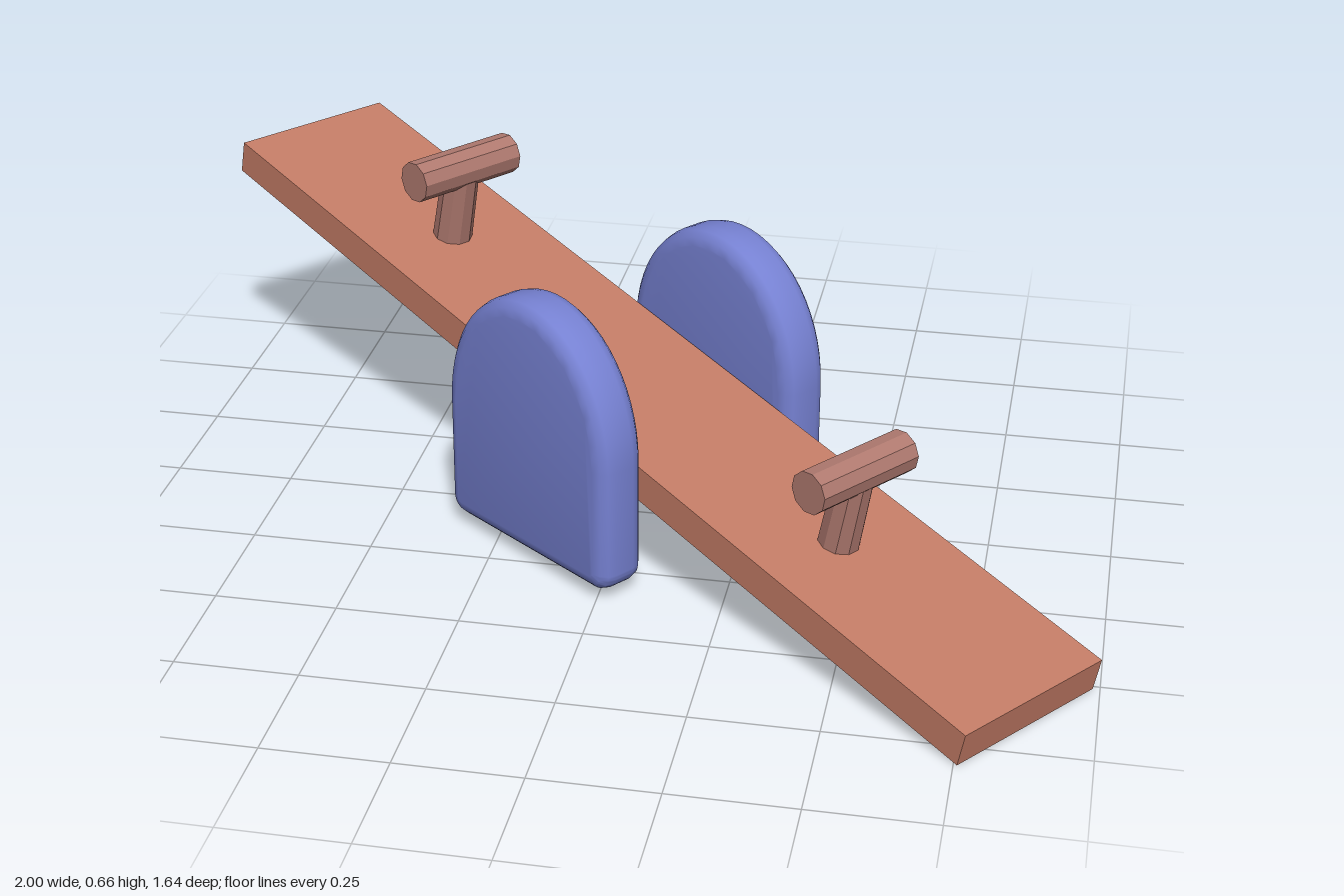
import * as THREE from 'three';
import { toCreasedNormals } from 'three/addons/utils/BufferGeometryUtils.js';

const boardMat = new THREE.MeshStandardMaterial({ color: 0xc47c66 });
const handleMat = new THREE.MeshStandardMaterial({ color: 0xb07a70, flatShading: true });
const supportMat = new THREE.MeshStandardMaterial({ color: 0x7681d2 });

function addMesh(parent, name, geometry, material, x = 0, y = 0, z = 0) {
  const mesh = new THREE.Mesh(geometry, material);
  mesh.name = name;
  mesh.position.set(x, y, z);
  parent.add(mesh);
  return mesh;
}

// Arched slab with rounded edges, standing on y = 0 and centred in depth
function supportGeometry(halfWidth, shoulder, height, depth, bevel) {
  const w = halfWidth - bevel, top = height - bevel, r = 0.012;
  const shape = new THREE.Shape();
  shape.moveTo(-w + r, bevel);
  shape.lineTo(w - r, bevel);
  shape.quadraticCurveTo(w, bevel, w, bevel + r);
  shape.lineTo(w, shoulder);
  shape.absellipse(0, shoulder, w, top - shoulder, 0, Math.PI, false);
  shape.lineTo(-w, bevel + r);
  shape.quadraticCurveTo(-w, bevel, -w + r, bevel);
  const geometry = new THREE.ExtrudeGeometry(shape, {
    depth: depth - 2 * bevel, bevelEnabled: true, bevelSize: bevel,
    bevelThickness: bevel, bevelSegments: 3, curveSegments: 14,
  });
  geometry.translate(0, 0, -(depth - 2 * bevel) / 2);
  return toCreasedNormals(geometry, 0.7);
}

export function createModel() {
  const model = new THREE.Group();
  model.name = 'seesaw';

  // Whole seesaw is turned diagonally
  const seesaw = new THREE.Group();
  seesaw.name = 'turnedSeesaw';
  seesaw.rotation.y = -0.648;
  model.add(seesaw);

  // Tilted plank carrying both handles
  const plank = new THREE.Group();
  plank.name = 'plank';
  plank.position.y = 0.283;
  plank.rotation.z = -0.219;
  seesaw.add(plank);
  addMesh(plank, 'board', new THREE.BoxGeometry(2.256, 0.073, 0.38), boardMat);

  // T-shaped handle near each end
  for (const side of [-1, 1]) {
    const handle = new THREE.Group();
    handle.name = side > 0 ? 'lowHandle' : 'highHandle';
    handle.position.set(side * 0.608, 0, 0);
    plank.add(handle);
    addMesh(handle, 'handlePost', new THREE.CylinderGeometry(0.04, 0.043, 0.18, 10), handleMat, 0, 0.115);
    const bar = addMesh(handle, 'handleBar', new THREE.CylinderGeometry(0.044, 0.044, 0.256, 10), handleMat, 0, 0.208);
    bar.rotation.x = Math.PI / 2;
  }

  // Arched supports on either side of the plank
  const arch = supportGeometry(0.246, 0.27, 0.557, 0.112, 0.034);
  addMesh(seesaw, 'frontSupport', arch, supportMat, 0.014, 0.024, 0.251);
  addMesh(seesaw, 'backSupport', arch, supportMat, 0.018, 0.03, -0.252);

  return model;
}
